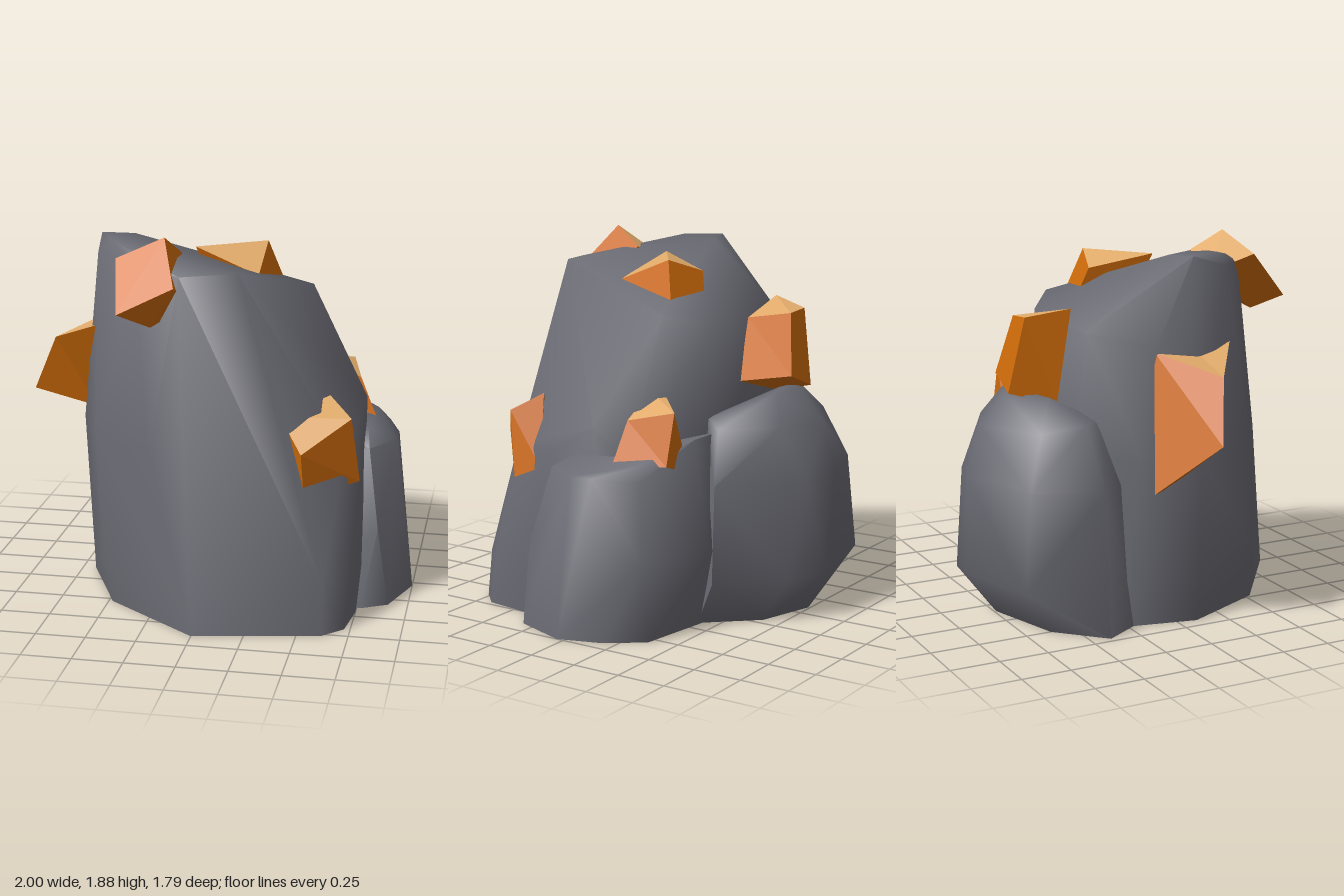
import * as THREE from 'three';
import { toCreasedNormals } from 'three/addons/utils/BufferGeometryUtils.js';
import { ConvexGeometry } from 'three/addons/geometries/ConvexGeometry.js';

const stone = new THREE.MeshStandardMaterial({ color: 0x6a6a73, side: THREE.DoubleSide });
stone.name = 'stone';
const ore = new THREE.MeshStandardMaterial({ color: 0xd06c0a });
ore.name = 'ore';
const oreLight = new THREE.MeshStandardMaterial({ color: 0xe0aa6a });
oreLight.name = 'ore light';

const vec = (p) => new THREE.Vector3(...p);

// Boulder: hull of level outlines [y, [[x, z], ...]] and loose points, open underneath
function boulder(name, levels, points = []) {
  const all = points.map(vec);
  for (const [y, outline] of levels) for (const [x, z] of outline) all.push(new THREE.Vector3(x, y, z));
  const hull = new ConvexGeometry(all).getAttribute('position');
  const kept = [];
  for (let i = 0; i < hull.count; i += 3) {
    if (Math.max(hull.getY(i), hull.getY(i + 1), hull.getY(i + 2)) < 0.001) continue;
    for (let k = i; k < i + 3; k++) kept.push(hull.getX(k), hull.getY(k), hull.getZ(k));
  }
  const geo = new THREE.BufferGeometry();
  geo.setAttribute('position', new THREE.Float32BufferAttribute(kept, 3));
  geo.computeVertexNormals();
  const mesh = new THREE.Mesh(toCreasedNormals(geo, 1.15), stone);
  mesh.name = name;
  return mesh;
}

// Ore chunk: skewed block with a pale cap; bottom is four corners or one offset
function chunk(name, cap, bottom) {
  const top = cap.map(vec);
  const low = Array.isArray(bottom[0]) ? bottom.map(vec) : top.map((p) => p.clone().add(vec(bottom)));
  const centre = new THREE.Vector3();
  [...top, ...low].forEach((p) => centre.addScaledVector(p, 1 / 8));
  const faces = [top, low];
  for (let i = 0; i < 4; i++) {
    const j = (i + 1) % 4;
    faces.push([top[i], top[j], low[j], low[i]]);
  }
  const points = [];
  for (const [a, b, c, d] of faces) {
    for (const t of [[a, b, c], [a, c, d]]) {
      const n = new THREE.Triangle(...t).getNormal(new THREE.Vector3());
      const mid = new THREE.Triangle(...t).getMidpoint(new THREE.Vector3());
      if (n.dot(mid.sub(centre)) < 0) t.reverse();
      points.push(...t);
    }
  }
  const geo = new THREE.BufferGeometry().setFromPoints(points);
  geo.computeVertexNormals();
  geo.addGroup(0, 6, 0);
  geo.addGroup(6, 30, 1);
  const mesh = new THREE.Mesh(geo, [oreLight, ore]);
  mesh.name = name;
  return mesh;
}

export function createModel() {
  const group = new THREE.Group();
  group.name = 'oreRock';

  // Stones
  group.add(
    boulder('mainBoulder', [
      [0, [[0, 0.89], [0.18, 0.82], [0.62, 0.77], [0.72, 0.67], [0.75, 0.45], [0.73, -0.1], [0.45, -0.4],
        [-0.3, -0.42], [-0.6, -0.28], [-0.68, 0.1], [-0.48, 0.53], [-0.2, 0.72]]],
      [0.25, [[0.62, 0.74], [0.74, 0.62], [0.77, 0.42], [-0.52, 0.53]]],
      [0.85, [[0.1, 0.73], [0.5, 0.63], [0.69, 0.5], [0.75, 0.25], [0.72, -0.2], [0.3, -0.42],
        [-0.4, -0.42], [-0.65, -0.2], [-0.72, 0.1], [-0.57, 0.46], [-0.25, 0.67]]],
    ], [
      [-0.61, 1.82, 0.1], [-0.52, 1.82, 0.28], [-0.45, 1.81, 0.05], [-0.58, 1.76, 0.3],
      [-0.35, 1.74, 0.5], [-0.1, 1.72, 0.65], [0.17, 1.73, 0.56], [0.2, 1.58, 0], [-0.3, 1.75, -0.02],
      [0.27, 1.58, 0.43], [0.43, 1.53, -0.2], [0.2, 1.48, -0.37], [-0.4, 1.45, -0.38],
      [-0.62, 1.4, -0.1], [0.74, 1.0, 0],
    ]),
    boulder('backBoulder', [
      [0, [[-0.72, -0.4], [-0.6, -0.2], [-0.5, -0.62], [-0.1, -0.74], [0.2, -0.65], [0.42, -0.4], [0.3, -0.2]]],
      [0.23, [[-0.55, -0.77], [-0.1, -0.9], [0.02, -0.9], [0.2, -0.78], [0.48, -0.52], [-0.69, -0.4]]],
      [0.72, [[-0.52, -0.73], [-0.1, -0.88], [0.1, -0.83], [0.46, -0.52], [-0.66, -0.4], [-0.56, -0.25]]],
      [0.98, [[-0.43, -0.63], [-0.1, -0.81], [0.15, -0.7], [0.36, -0.48]]],
      [1.02, [[-0.45, -0.32], [0.3, -0.38], [-0.5, -0.42]]],
      [1.13, [[-0.32, -0.53], [-0.1, -0.68], [0.05, -0.62]]],
    ]),
    boulder('sideBoulder', [
      [0, [[1, 0.04], [0.93, -0.18], [0.8, -0.36], [0.4, -0.42], [0.9, 0.32], [0.77, 0.39], [0.4, 0.3]]],
      [0.4, [[0.94, 0.04], [0.86, -0.37], [0.5, -0.52], [0.3, -0.5], [0.84, 0.32]]],
      [0.79, [[0.9, -0.1], [0.9, 0.02], [0.83, -0.33], [0.78, 0.22]]],
      [0.86, [[0.77, -0.3], [0.76, 0.1], [0.5, 0]]],
      [0.95, [[0.5, -0.43], [0.3, -0.43]]],
    ]),
  );

  // Ore chunks
  group.add(
    chunk('frontTopOre',
      [[-0.2, 1.88, 0.5], [-0.43, 1.78, 0.55], [-0.38, 1.7, 0.33], [-0.15, 1.78, 0.34]],
      [[-0.12, 1.67, 0.68], [-0.38, 1.55, 0.76], [-0.24, 1.47, 0.65], [-0.06, 1.57, 0.5]]),
    chunk('topOre',
      [[-0.12, 1.77, 0.14], [0.21, 1.65, 0.21], [0.21, 1.77, -0.09], [0, 1.7, -0.16]],
      [0.07, -0.2, -0.06]),
    chunk('backOre',
      [[-0.31, 1.56, -0.41], [-0.08, 1.47, -0.38], [-0.09, 1.51, -0.62], [-0.23, 1.52, -0.62]],
      [[-0.25, 1.08, -0.46], [0.02, 1.16, -0.39], [0, 1.21, -0.68], [-0.18, 1.14, -0.69]]),
    chunk('rightBackOre',
      [[0.49, 1.16, -0.17], [0.69, 1.05, -0.17], [0.63, 1.1, -0.4], [0.5, 1.14, -0.27]],
      [[0.5, 0.9, -0.1], [0.78, 0.84, -0.14], [0.7, 0.85, -0.4], [0.5, 0.78, -0.4]]),
    chunk('rightFrontOre',
      [[0.38, 1.04, 0.58], [0.5, 0.89, 0.7], [0.72, 1.03, 0.52], [0.6, 1.11, 0.4]],
      [[0.41, 0.84, 0.52], [0.51, 0.68, 0.66], [0.76, 0.7, 0.47], [0.73, 0.76, 0.33]]),
    chunk('leftOre',
      [[-0.86, 1.27, 0.13], [-0.52, 1.42, 0.37], [-0.35, 1.45, 0.1], [-0.61, 1.37, -0.11]],
      [[-1, 0.97, 0.05], [-0.68, 0.88, 0.02], [-0.55, 0.66, 0], [-0.77, 0.71, -0.19]]),
  );
  return group;
}
